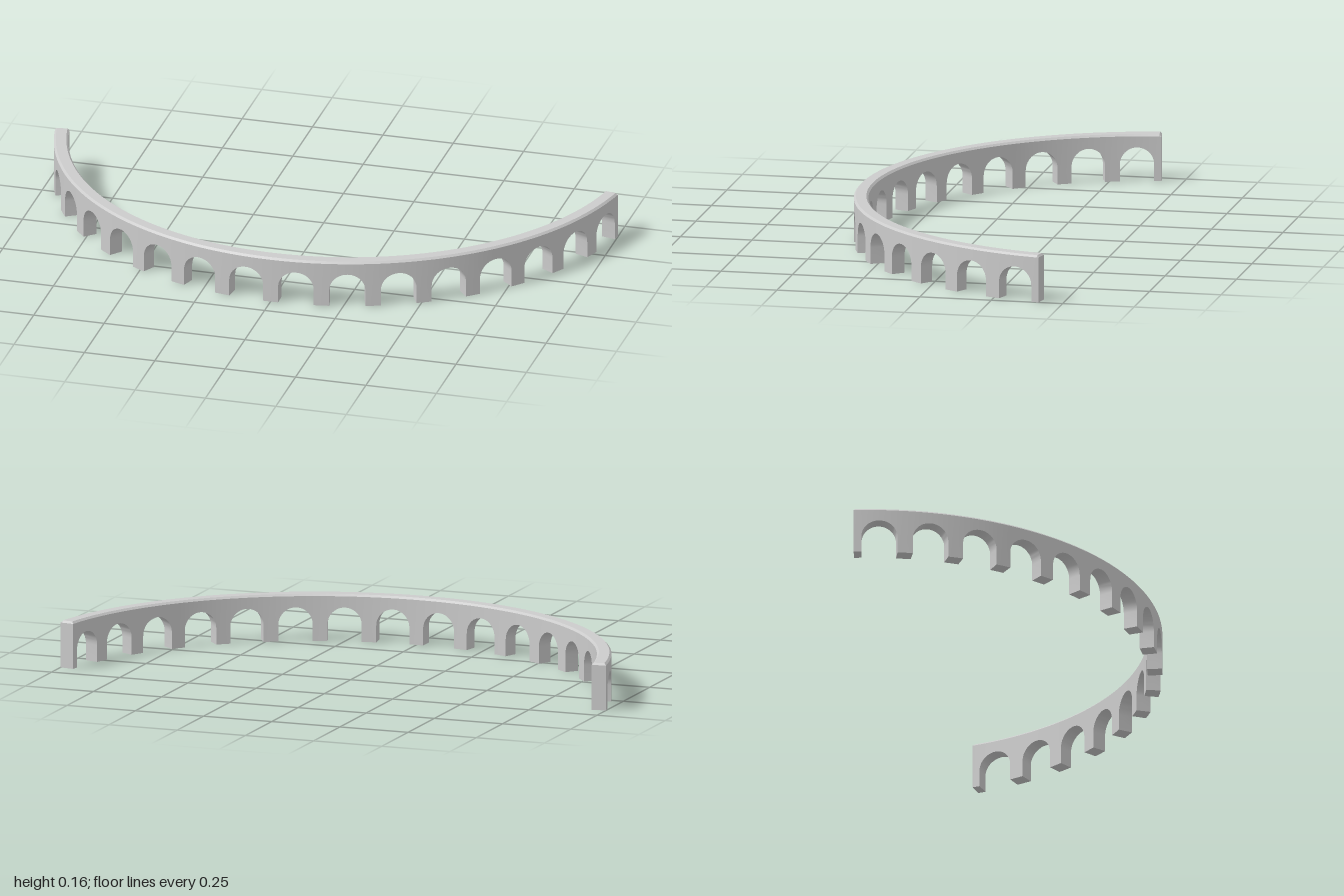
import * as THREE from 'three';
import { toCreasedNormals } from 'three/addons/utils/BufferGeometryUtils.js';

const RAD = Math.PI / 180;
const BAYS = 16, BAY = 10 * RAD, SPAN = BAYS * BAY; // 160 degree arc of equal bays
const R = 1 / Math.sin(SPAN / 2);                   // outer radius
const RI = R - 0.05;                                // inner radius
const CZ = -(R + RI * Math.cos(SPAN / 2)) / 2;      // arc centre
const H = 0.164, BEVEL = 0.007;
const HALF = 3.5 * RAD;                             // half opening of an arch
const SPRING = 0.058, RISE = 0.06;

// Radial cross-section at an angle, from soffit height to top height
function section(angle, soffit, top) {
  return [
    [RI, soffit], [R, soffit], [R, H - BEVEL],
    [R - BEVEL, top], [RI + BEVEL, top], [RI, H - BEVEL],
  ].map(([r, y]) => [r * Math.sin(angle), y, CZ + r * Math.cos(angle)]);
}

// Soffit line: half pier, jamb, round arch, jamb, half pier in each bay
function soffitLine() {
  const line = [];
  const end = SPAN / 2, inset = BEVEL / R, steps = 24;
  line.push([-end, 0, H - BEVEL], [-end + inset, 0, H]);
  for (let b = 0; b < BAYS; b++) {
    const mid = -end + (b + 0.5) * BAY;
    if (b > 0) line.push([mid - BAY / 2, 0, H]);
    line.push([mid - HALF, 0, H]);
    for (let i = 0; i <= steps; i++) {
      const t = Math.PI * i / steps;
      line.push([mid - HALF * Math.cos(t), SPRING + RISE * Math.sin(t), H]);
    }
    line.push([mid + HALF, 0, H]);
  }
  line.push([end - inset, 0, H], [end, 0, H - BEVEL]);
  return line;
}

function arcadeGeometry() {
  const pos = [];
  const quad = (a, b, c, d) => pos.push(...a, ...b, ...c, ...a, ...c, ...d);
  const line = soffitLine();
  const rings = line.map(p => section(...p));
  for (let i = 0; i < rings.length - 1; i++) {
    const A = rings[i], B = rings[i + 1];
    // a jamb is a vertical step, so it only has its underside
    const jamb = Math.abs(line[i][0] - line[i + 1][0]) < 1e-6;
    for (let k = 0; k < (jamb ? 1 : 6); k++) {
      const n = (k + 1) % 6;
      quad(A[k], B[k], B[n], A[n]);
    }
  }
  // end faces
  const s = rings[0], e = rings[rings.length - 1];
  quad(s[0], s[1], s[2], s[5]);
  quad(e[5], e[2], e[1], e[0]);
  const g = new THREE.BufferGeometry();
  g.setAttribute('position', new THREE.Float32BufferAttribute(pos, 3));
  return toCreasedNormals(g, 30 * RAD);
}

export function createModel() {
  const group = new THREE.Group();
  group.name = 'curvedArcade';
  const arcade = new THREE.Mesh(
    arcadeGeometry(),
    new THREE.MeshStandardMaterial({ color: 0xcccccc }),
  );
  arcade.name = 'arcadeWall';
  group.add(arcade);
  return group;
}
